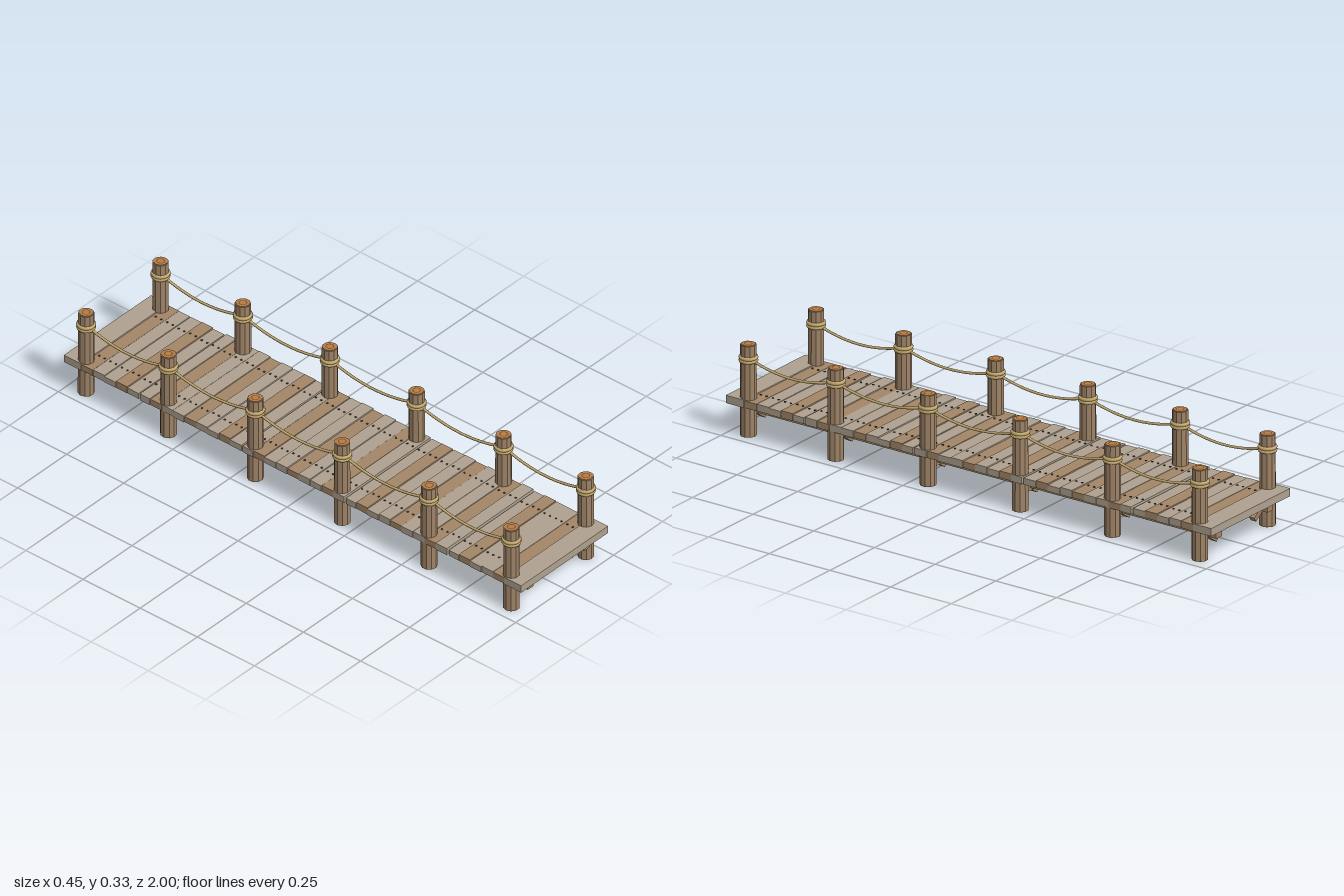
import * as THREE from 'three';

const mat = (name, color, extra = {}) => {
  const m = new THREE.MeshStandardMaterial({ color, ...extra });
  m.name = name;
  return m;
};

export function createModel() {
  const weathered = mat('weathered grey wood', 0xaea18f);
  const wood = mat('brown wood', 0xa38668);
  const postWood = mat('post wood', 0x9f8367, { flatShading: true });
  const endGrain = mat('end grain', 0xb57c45);
  const darkGrain = mat('dark grain ring', 0x7d5029);
  const rope = mat('rope', 0xc4a970);
  const nailMetal = mat('nail metal', 0x413a34);

  const model = new THREE.Group();
  model.name = 'boardwalk';

  const add = (parent, name, geometry, material, x = 0, y = 0, z = 0) => {
    const mesh = new THREE.Mesh(geometry, material);
    mesh.name = name;
    mesh.position.set(x, y, z);
    parent.add(mesh);
    return mesh;
  };
  const box = (parent, name, material, w, h, d, x, y, z) =>
    add(parent, name, new THREE.BoxGeometry(w, h, d), material, x, y, z);
  const group = (name) => {
    const g = new THREE.Group();
    g.name = name;
    model.add(g);
    return g;
  };

  const postX = 0.19;
  const postZ = [-0.93, -0.57, -0.19, 0.19, 0.57, 0.93];
  const deckBottom = 0.107;

  // Deck planks: every third one brown, slightly uneven tops
  const deck = group('deck');
  const nailGeometry = new THREE.CylinderGeometry(0.0042, 0.0042, 0.003, 6);
  const pitch = 0.05;
  for (let i = 0; i < 37; i++) {
    const z = (i - 18) * pitch;
    const trimmed = i % 9 === 5; // wider gap before these planks
    const depth = trimmed ? 0.043 : 0.0485;
    const height = 0.0245 + 0.002 * Math.sin(i * 2.7);
    const width = 0.44 + 0.003 * Math.sin(i * 4.1);
    box(deck, 'plank', i % 3 === 0 ? wood : weathered, width, height, depth,
      0, deckBottom + height / 2, z + (trimmed ? 0.003 : 0));
    for (const side of [-1, 1])
      for (const dz of [-0.012, 0.012])
        add(deck, 'nail', nailGeometry, nailMetal,
          side * 0.145, deckBottom + height + 0.0005, z + dz);
  }

  // Broad boards closing both ends
  for (const end of [-1, 1])
    box(deck, 'endBoard', weathered, 0.444, 0.028, 0.074, 0, 0.121, end * 0.963);

  // Long beams and cross beams below the deck
  const frame = group('frame');
  for (const side of [-1, 1])
    box(frame, 'longBeam', wood, 0.031, 0.035, 1.95, side * 0.144, 0.0895, 0);
  for (const z of [-0.19, 0.19])
    box(frame, 'crossBeam', wood, 0.34, 0.04, 0.035, 0, 0.081, z);

  // Posts with end grain, rope wraps and a short brace
  const posts = group('posts');
  const postGeometry = new THREE.CylinderGeometry(0.0275, 0.0285, 0.325, 10);
  const wrapGeometry = new THREE.TorusGeometry(0.0268, 0.0068, 8, 20).rotateX(Math.PI / 2);
  const grainGeometry = new THREE.CylinderGeometry(0.024, 0.024, 0.003, 10);
  const ringGeometry = new THREE.RingGeometry(0.011, 0.015, 16).rotateX(-Math.PI / 2);
  postZ.forEach((z, i) => {
    for (const side of [-1, 1]) {
      const x = side * postX;
      const turn = i * 0.9 + side * 0.4;
      add(posts, 'post', postGeometry, postWood, x, 0.1625, z).rotation.y = turn;
      add(posts, 'postEndGrain', grainGeometry, endGrain, x, 0.3255, z).rotation.y = turn;
      add(posts, 'grainRing', ringGeometry, darkGrain, x, 0.3275, z);
      for (const y of [0.2685, 0.2795])
        add(posts, 'ropeWrap', wrapGeometry, rope, x, y, z);
      const brace = box(posts, 'brace', wood, 0.085, 0.018, 0.022, side * 0.141, 0.069, z);
      brace.rotation.z = side * 0.59;
    }
  });

  // Sagging ropes between neighbouring posts
  const ropes = group('handRopes');
  for (const side of [-1, 1])
    for (let i = 0; i < postZ.length - 1; i++) {
      const points = [];
      for (let k = 0; k <= 8; k++) {
        const t = k / 8;
        points.push(new THREE.Vector3(side * postX,
          0.275 - 0.033 * 4 * t * (1 - t),
          THREE.MathUtils.lerp(postZ[i], postZ[i + 1], t)));
      }
      const curve = new THREE.CatmullRomCurve3(points);
      add(ropes, 'handRope', new THREE.TubeGeometry(curve, 20, 0.0048, 8), rope);
    }

  return model;
}
